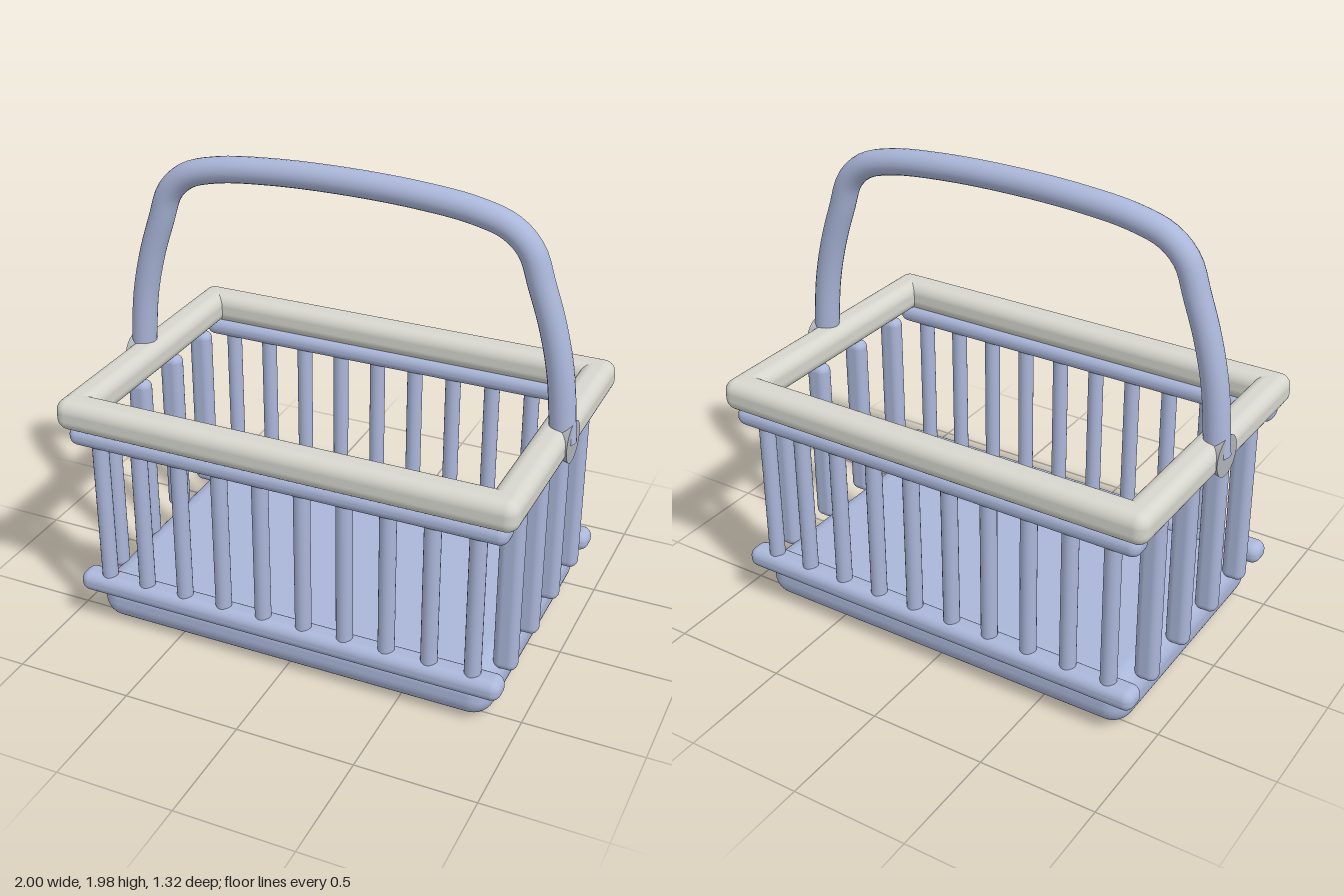
import * as THREE from 'three';
import { RoundedBoxGeometry } from 'three/addons/geometries/RoundedBoxGeometry.js';

export function createModel() {
  const basket = new THREE.Group();
  basket.name = 'basket';

  const material = (name, color) => {
    const m = new THREE.MeshStandardMaterial({ color });
    m.name = name;
    return m;
  };
  const blue = material('soft blue', 0xabb7da);
  const ivory = material('ivory', 0xd6d6ce);
  const grey = material('cool grey', 0xb0b4ba);

  const add = (name, geometry, mat, x, y, z) => {
    const mesh = new THREE.Mesh(geometry, mat);
    mesh.name = name;
    mesh.position.set(x, y, z);
    basket.add(mesh);
    return mesh;
  };
  const rounded = (w, h, d, r) => new RoundedBoxGeometry(w, h, d, 5, r);

  // Solid floor tray
  add('base', rounded(1.77, 0.21, 1.17, 0.095), blue, 0, 0.105, 0);

  const frontPost = new THREE.CylinderGeometry(0.034, 0.034, 0.7, 20);
  const sidePost = rounded(0.1, 0.78, 0.072, 0.034);

  for (const s of [-1, 1]) {
    // Front and back walls: two rails joined by ten posts
    add('lowerRail', rounded(1.88, 0.09, 0.11, 0.04), blue, 0, 0.2, s * 0.58);
    add('upperRail', rounded(1.88, 0.085, 0.11, 0.04), blue, 0, 0.905, s * 0.58);
    for (let i = 0; i < 10; i++) {
      add('wallPost', frontPost, blue, -0.815 + i * 0.1811, 0.55, s * 0.58);
    }

    // End walls: four free-standing posts each
    for (let i = 0; i < 4; i++) {
      add('endPost', sidePost, blue, s * 0.89, 0.555, -0.4 + i * 0.2667);
    }

    // Thick rim around the opening
    add('longRim', rounded(1.96, 0.135, 0.135, 0.052), ivory, 0, 1.003, s * 0.5925);
    add('shortRim', rounded(0.135, 0.135, 1.22, 0.052), ivory, s * 0.9125, 1.003, 0);

    // Flared pivot where the handle meets the rim
    const pivot = add('handlePivot', new THREE.CylinderGeometry(0.087, 0.062, 0.1, 32), grey, s * 0.936, 1.005, 0);
    pivot.rotation.z = -s * Math.PI / 2;
  }

  // Arched carrying handle, mirrored from one half of its path
  const half = [
    [0.945, 1.0], [0.916, 1.29], [0.873, 1.48], [0.82, 1.64],
    [0.772, 1.77], [0.69, 1.847], [0.55, 1.891], [0.32, 1.917],
  ];
  const path = [
    ...half.map(([x, y]) => new THREE.Vector3(-x, y, 0)),
    new THREE.Vector3(0, 1.927, 0),
    ...half.slice().reverse().map(([x, y]) => new THREE.Vector3(x, y, 0)),
  ];
  const curve = new THREE.CatmullRomCurve3(path);
  add('handle', new THREE.TubeGeometry(curve, 96, 0.054, 20), blue, 0, 0, 0);

  // Flat caps closing the handle ends
  for (const t of [0, 1]) {
    const cap = add('handleEnd', new THREE.CircleGeometry(0.054, 20), blue, 0, 0, 0);
    cap.position.copy(curve.getPointAt(t));
    const outward = curve.getTangentAt(t).multiplyScalar(t ? 1 : -1);
    cap.quaternion.setFromUnitVectors(new THREE.Vector3(0, 0, 1), outward);
  }

  return basket;
}
